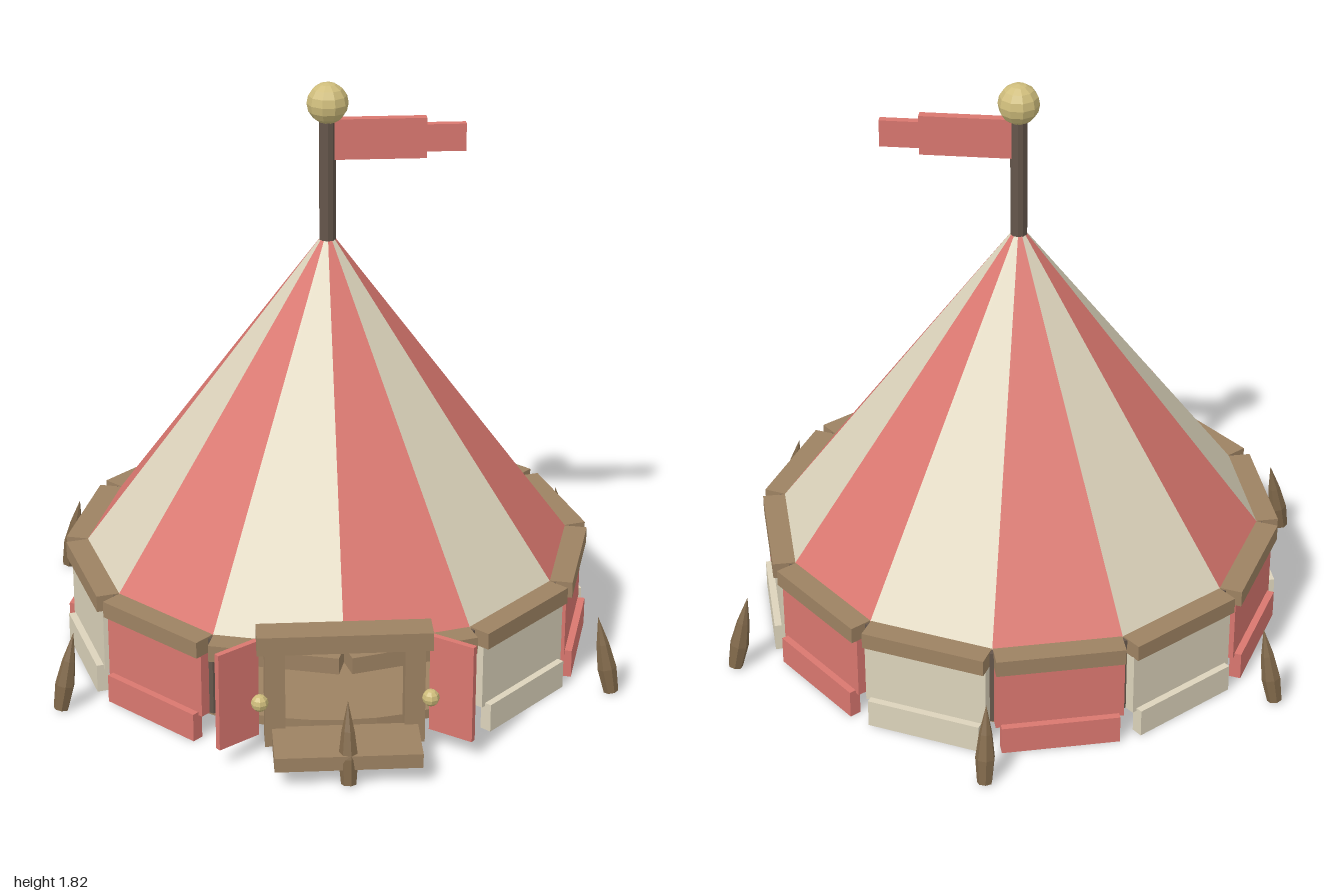
import * as THREE from 'three';

const mat = (name, color, extra = {}) => {
  const m = new THREE.MeshStandardMaterial({ color, flatShading: true, ...extra });
  m.name = name;
  return m;
};

export function createModel() {
  const red = mat('red canvas', 0xd9776f, { side: THREE.DoubleSide });
  const cream = mat('cream canvas', 0xdcd3bb, { side: THREE.DoubleSide });
  const wood = mat('light wood', 0x9d8262);
  const stakeWood = mat('stake wood', 0x80684a);
  const darkWood = mat('dark wood', 0x65564b);
  const gold = mat('gold', 0xcfbd7c);

  const tent = new THREE.Group();
  tent.name = 'tent';
  const add = (name, geometry, material, x = 0, y = 0, z = 0, parent = tent) => {
    const mesh = new THREE.Mesh(geometry, material);
    mesh.name = name;
    mesh.position.set(x, y, z);
    parent.add(mesh);
    return mesh;
  };
  // Box given by its limits on each axis
  const box = (name, material, x0, x1, y0, y1, z0, z1, parent = tent) =>
    add(name, new THREE.BoxGeometry(x1 - x0, y1 - y0, z1 - z0), material,
      (x0 + x1) / 2, (y0 + y1) / 2, (z0 + z1) / 2, parent);
  // Group whose local +x points outward at an angle measured from +x towards +z
  const spoke = (name, angle) => {
    const g = new THREE.Group();
    g.name = name;
    g.rotation.y = -angle;
    tent.add(g);
    return g;
  };

  const step = Math.PI / 6;

  // Floor
  add('floor', new THREE.CylinderGeometry(0.755, 0.755, 0.03, 48), wood, 0, 0.075, 0).material = wood;

  // Twelve bays: roof panel, rim beam, wall and skirt; the two front bays stay open
  for (let k = 0; k < 12; k++) {
    const canvas = k % 2 ? cream : red;
    add('roofPanel', new THREE.CylinderGeometry(0.02, 0.76, 1, 1, 1, true,
      Math.PI / 2 - (k + 1) * step, step), canvas, 0, 0.833, 0);

    const bay = spoke('bay', (k + 0.5) * step);
    box('rimBeam', wood, 0.72, 0.803, 0.283, 0.335, -0.195, 0.195, bay);
    if (k !== 2 && k !== 3) {
      box('wallPanel', canvas, 0.745, 0.785, 0.08, 0.285, -0.195, 0.195, bay);
      box('wallSkirt', canvas, 0.77, 0.807, 0, 0.09, -0.18, 0.18, bay);
    }
    if (k !== 3) {
      const corner = spoke('corner', k * step);
      add('cornerPost', new THREE.CylinderGeometry(0.014, 0.014, 0.25, 6), darkWood, 0.765, 0.205, 0, corner);
    }
  }

  // Mast, ball and pennant
  add('mast', new THREE.CylinderGeometry(0.026, 0.026, 0.4, 10), darkWood, 0, 1.525, 0);
  add('mastBall', new THREE.SphereGeometry(0.063, 10, 8), gold, 0, 1.754, 0);
  box('flag', red, 0.02, 0.297, 1.58, 1.706, -0.014, 0.014);
  box('flagTip', red, 0.29, 0.416, 1.6, 1.685, -0.012, 0.012);

  // Doorway and porch
  box('doorLintel', wood, -0.257, 0.257, 0.345, 0.403, 0.725, 0.815);
  box('porchStep', wood, -0.215, 0.215, 0.055, 0.1, 0.8, 0.98);
  for (const s of [-1, 1]) {
    add('doorPost', new THREE.BoxGeometry(0.06, 0.31, 0.07), wood, s * 0.205, 0.195, 0.775);
    const flap = add('doorFlap', new THREE.BoxGeometry(0.145, 0.312, 0.018), red, s * 0.315, 0.214, 0.803);
    flap.rotation.y = -s * 0.62;
    add('doorKnob', new THREE.SphereGeometry(0.026, 8, 6), gold, s * 0.25, 0.195, 0.822);
  }

  // Small trestle and red bench inside
  box('bench', red, -0.17, 0.04, 0.13, 0.19, -0.1, 0.0);
  for (const s of [-1, 1]) {
    const leg = add('trestleLeg', new THREE.BoxGeometry(0.025, 0.22, 0.025), wood, s * 0.055, 0.185, 0.05);
    leg.rotation.z = s * 0.5;
  }

  // Ring of pointed stakes leaning inward
  const profile = [[0, 0], [0.023, 0], [0.03, 0.08], [0.02, 0.16], [0, 0.25]]
    .map(([r, y]) => new THREE.Vector2(r, y));
  for (let k = 0; k < 6; k++) {
    const g = spoke('stakeSpoke', Math.PI / 6 + (k * Math.PI) / 3);
    const stake = add('stake', new THREE.LatheGeometry(profile, 7), stakeWood, 0.972, 0.005, 0, g);
    stake.rotation.z = 0.21;
  }

  return tent;
}
